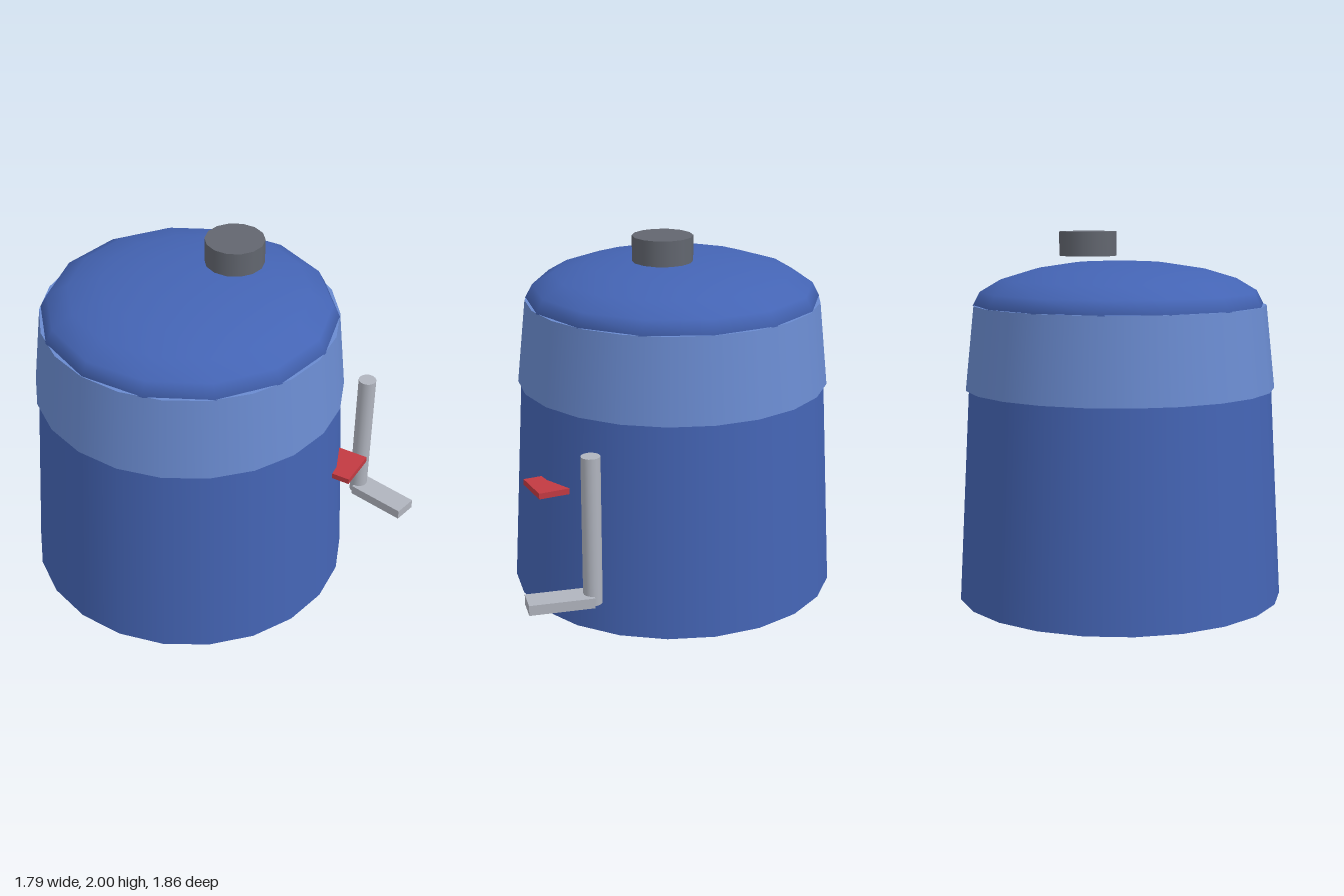
import * as THREE from 'three';

const paint = (color) => new THREE.MeshStandardMaterial({ color });

export function createModel() {
  const group = new THREE.Group();
  const blue = paint(0x4464b4);
  const lightBlue = paint(0x6a8bd0);
  const steel = paint(0xb0b4be);
  const red = paint(0xc23a42);
  const dark = paint(0x62666f);

  function add(name, geometry, material, x, y, z) {
    const mesh = new THREE.Mesh(geometry, material);
    mesh.name = name;
    mesh.position.set(x, y, z);
    group.add(mesh);
    return mesh;
  }

  // Cylinder with corners on the x axis
  const drum = (top, bottom, height, sides) =>
    new THREE.CylinderGeometry(top, bottom, height, sides, 1, false, Math.PI / 2);

  const cz = -0.045;

  // Tapered tank body, ending inside the collar
  add('body', drum(0.82, 0.895, 1.4, 22), blue, 0, 0.7, cz);

  // Lighter collar around the upper body
  add('collar', drum(0.802, 0.85, 0.455, 22), lightBlue, 0, 1.3825, cz);

  // Low domed lid
  const dome = new THREE.SphereGeometry(0.8, 14, 5, 0, Math.PI * 2, 0, Math.PI / 2);
  dome.scale(1, 0.24 / 0.8, 1);
  add('domedLid', dome, blue, 0, 1.607, cz);

  // Knob above the lid, off centre
  add('knob', drum(0.16, 0.16, 0.134, 14), dark, 0.228, 1.933, 0.07);

  // Upright pipe with a flat spout at its foot
  add('pipe', drum(0.05, 0.05, 0.8, 14), steel, 0.8, 0.635, 0.587);
  add('spout', new THREE.BoxGeometry(0.135, 0.055, 0.34), steel, 0.802, 0.261, 0.758);

  // Small lever, turned to follow the wall
  const lever = add('lever', new THREE.BoxGeometry(0.226, 0.032, 0.2), red, 0.403, 0.734, 0.73);
  lever.rotation.y = 0.2;

  return group;
}
